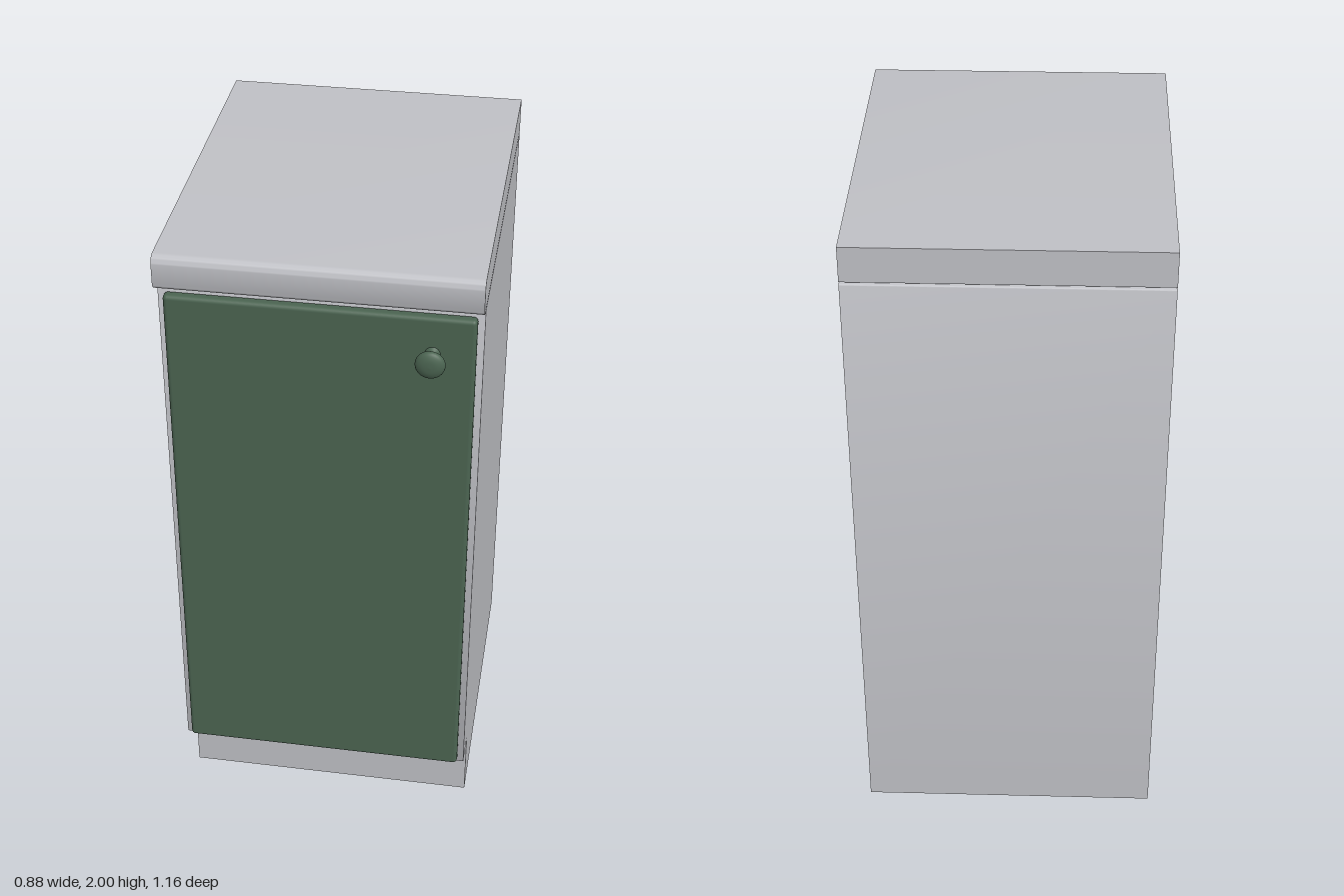
import * as THREE from 'three';
import { toCreasedNormals } from 'three/addons/utils/BufferGeometryUtils.js';
import { RoundedBoxGeometry } from 'three/addons/geometries/RoundedBoxGeometry.js';

const WIDTH = 0.885;
const BACK = -0.58;

// Extrude a side profile of [z, y, cornerRadius] points across the cabinet width
function sideExtrude(points, width) {
  const shape = new THREE.Shape();
  const n = points.length;
  points.forEach(([z, y, r], i) => {
    const p = new THREE.Vector2(z, y);
    const towards = ([a, b]) => new THREE.Vector2(a, b).sub(p).setLength(r).add(p);
    const start = r ? towards(points[(i + n - 1) % n]) : p;
    if (i === 0) shape.moveTo(start.x, start.y);
    else shape.lineTo(start.x, start.y);
    if (r) {
      const end = towards(points[(i + 1) % n]);
      const k = 0.45; // handles pulled towards the corner give a near-circular arc
      const c1 = p.clone().lerp(start, k), c2 = p.clone().lerp(end, k);
      shape.bezierCurveTo(c1.x, c1.y, c2.x, c2.y, end.x, end.y);
    }
  });
  shape.closePath();
  const geometry = new THREE.ExtrudeGeometry(shape, { depth: width, bevelEnabled: false, curveSegments: 8 });
  geometry.translate(0, 0, -width / 2);
  geometry.rotateY(-Math.PI / 2);
  return toCreasedNormals(geometry, 0.6);
}

export function createModel() {
  const group = new THREE.Group();
  const grey = new THREE.MeshStandardMaterial({ color: 0xc0c1c6 });
  grey.name = 'light grey';
  const green = new THREE.MeshStandardMaterial({ color: 0x4b6451 });
  green.name = 'dark green';

  const add = (name, geometry, material) => {
    const mesh = new THREE.Mesh(geometry, material);
    mesh.name = name;
    group.add(mesh);
    return mesh;
  };

  // Carcass with a recessed toe kick
  add('cabinetBody', sideExtrude([
    [BACK, 0, 0], [0.365, 0, 0], [0.365, 0.228, 0], [0.477, 0.228, 0.008],
    [0.477, 1.889, 0.008], [BACK, 1.889, 0.004],
  ], WIDTH), grey);

  // Inset strip that leaves a shadow gap below the worktop
  add('shadowGap', new THREE.BoxGeometry(WIDTH - 0.02, 0.02, 1.03), grey).position.set(0, 1.89, -0.053);

  // Worktop with a rounded front edge
  add('worktop', sideExtrude([
    [BACK, 1.896, 0], [0.528, 1.896, 0.024], [0.528, 2, 0.024], [BACK, 2, 0],
  ], WIDTH), grey);

  // Door panel
  add('door', new RoundedBoxGeometry(0.848, 1.622, 0.034, 3, 0.012), green).position.set(0, 1.059, 0.491);

  // Turned knob: foot, narrow neck and domed head
  const profile = new THREE.SplineCurve([
    [0.025, 0], [0.019, 0.008], [0.013, 0.018], [0.013, 0.030], [0.022, 0.040],
    [0.038, 0.052], [0.041, 0.059], [0.036, 0.068], [0.020, 0.075], [0, 0.077],
  ].map(([r, h]) => new THREE.Vector2(r, h))).getPoints(36);
  profile.forEach((p) => { p.x = Math.max(p.x, 0); });
  profile[profile.length - 1].x = 0;
  const knob = add('doorKnob', new THREE.LatheGeometry(profile, 32), green);
  knob.rotation.x = Math.PI / 2;
  knob.position.set(0.308, 1.76, 0.503);

  return group;
}
